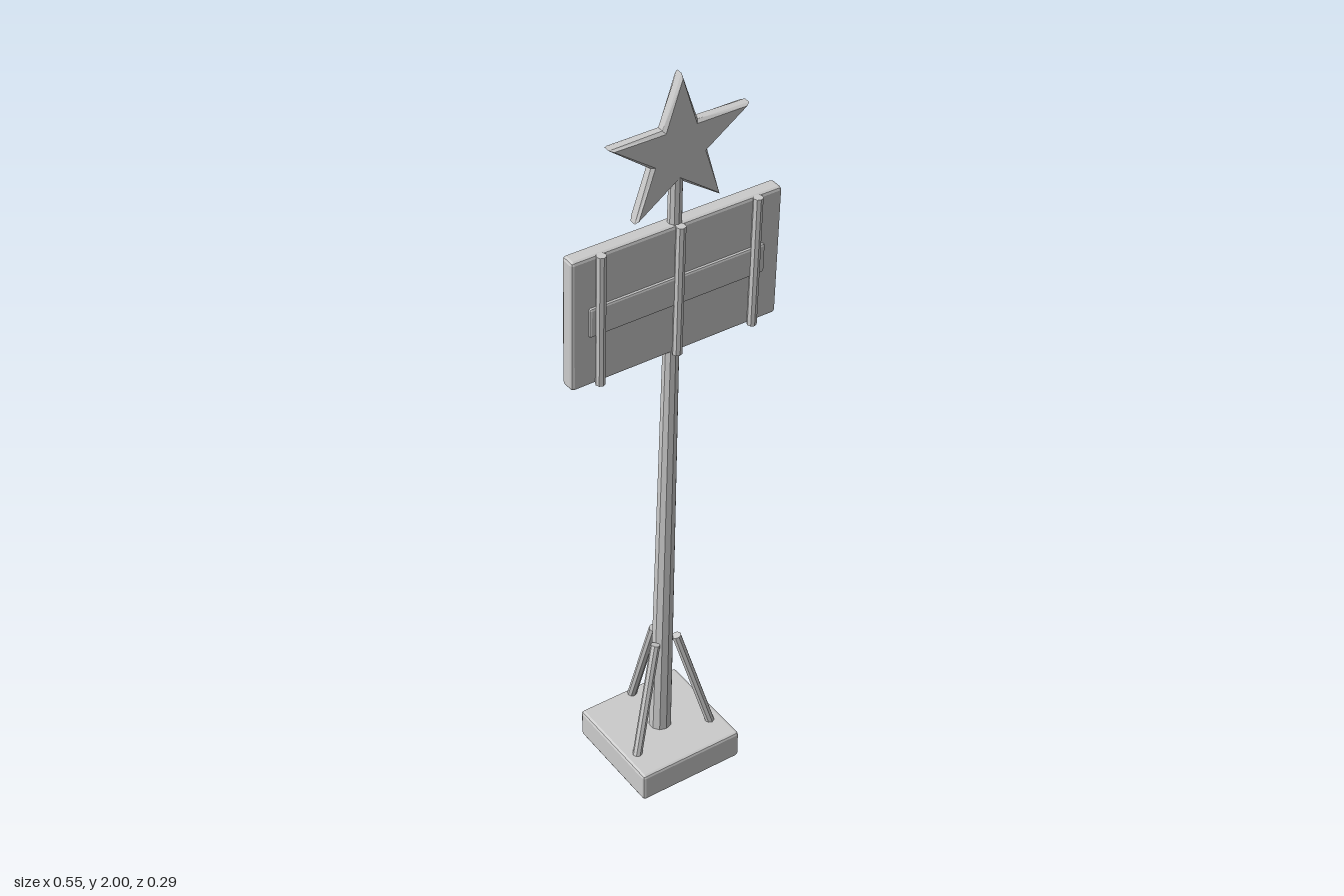
import * as THREE from 'three';
import { RoundedBoxGeometry } from 'three/addons/geometries/RoundedBoxGeometry.js';

const material = new THREE.MeshStandardMaterial({ color: 0xcccccc, flatShading: true });

function add(parent, name, geometry, x = 0, y = 0, z = 0) {
  const mesh = new THREE.Mesh(geometry, material);
  mesh.name = name;
  mesh.position.set(x, y, z);
  parent.add(mesh);
  return mesh;
}

// Box with a single flat chamfer on every edge
const chamferBox = (w, h, d, c) => new RoundedBoxGeometry(w, h, d, 1, c);

// Straight rod between two points
function addRod(parent, name, a, b, radius, sides) {
  const dir = b.clone().sub(a);
  const rod = add(parent, name, new THREE.CylinderGeometry(radius, radius, dir.length(), sides));
  rod.position.copy(a).add(b).multiplyScalar(0.5);
  rod.quaternion.setFromUnitVectors(new THREE.Vector3(0, 1, 0), dir.normalize());
  return rod;
}

function starGeometry(outer, inner, depth, bevel) {
  const points = [];
  for (let i = 0; i < 10; i++) {
    const r = i % 2 ? inner : outer;
    const a = Math.PI / 2 + (i * Math.PI) / 5;
    points.push(new THREE.Vector2(r * Math.cos(a), r * Math.sin(a)));
  }
  const geometry = new THREE.ExtrudeGeometry(new THREE.Shape(points), {
    depth: depth - 2 * bevel, bevelEnabled: true, bevelSegments: 1,
    bevelSize: bevel, bevelThickness: bevel, bevelOffset: -bevel,
  });
  return geometry.translate(0, 0, -depth / 2 + bevel);
}

export function createModel() {
  const model = new THREE.Group();
  model.name = 'starSignpost';

  // Square foot
  add(model, 'base', chamferBox(0.29, 0.08, 0.29, 0.008), 0, 0.04, 0);

  // Three braces around the foot of the pole
  for (let i = 0; i < 3; i++) {
    const a = -Math.PI / 2 + (i * Math.PI * 2) / 3;
    const foot = new THREE.Vector3(0.13 * Math.cos(a), 0.07, 0.13 * Math.sin(a));
    const head = new THREE.Vector3(0.036 * Math.cos(a), 0.38, 0.01 + 0.036 * Math.sin(a));
    addRod(model, 'brace', foot, head, 0.012, 8);
  }

  // Everything above the foot leans slightly forward
  const upper = new THREE.Group();
  upper.name = 'leaningUpper';
  upper.position.set(0, 0.08, 0.002);
  upper.rotation.x = 0.036;
  model.add(upper);

  // Tapered pole
  add(upper, 'pole', new THREE.CylinderGeometry(0.016, 0.029, 1.72, 10), 0, 0.85, 0);

  // Sign board with a raised band through both faces
  const sign = new THREE.Group();
  sign.name = 'sign';
  sign.position.set(0, 1.372, -0.001);
  upper.add(sign);
  add(sign, 'board', chamferBox(0.552, 0.345, 0.04, 0.008));
  add(sign, 'band', chamferBox(0.466, 0.078, 0.052, 0.006));

  // Vertical battens on the front
  for (const x of [-0.205, 0, 0.205]) {
    add(sign, 'batten', new THREE.CylinderGeometry(0.012, 0.012, 0.346, 8), x, 0, 0.026);
  }

  // Star on top
  add(upper, 'star', starGeometry(0.188, 0.076, 0.03, 0.007), 0, 1.733, 0.002);

  return model;
}
